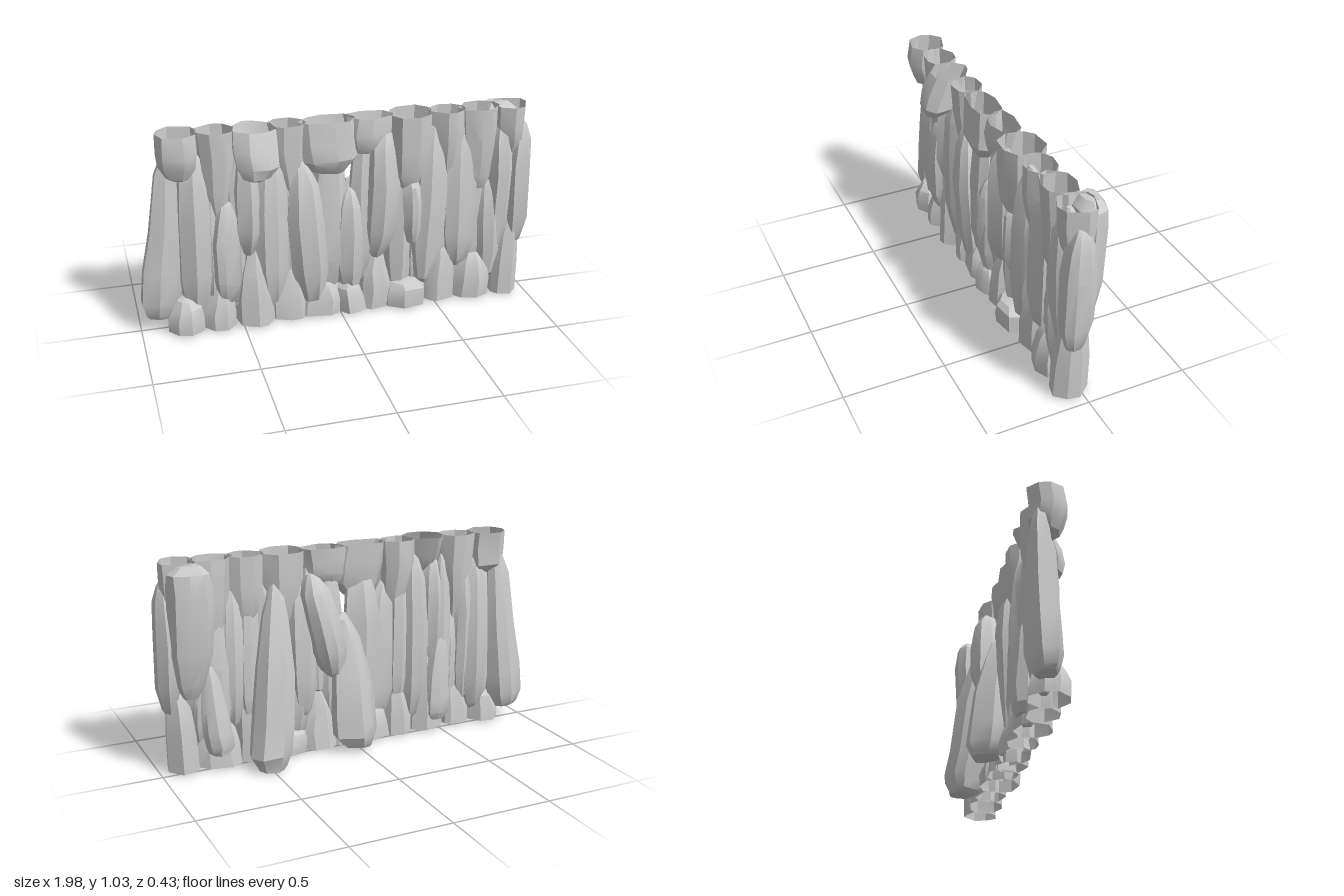
import * as THREE from 'three';
import { toCreasedNormals } from 'three/addons/utils/BufferGeometryUtils.js';

const SIDES = 8, TOP = 1.03, BASE = 0.01;

// Radius profiles along a stone: [length fraction, radius fraction]
const WHOLE = [[0, 0.22], [0.05, 0.6], [0.25, 0.97], [0.6, 1], [0.84, 0.8], [0.96, 0.42], [1, 0.15]];
const HEAVY = [[0, 0.6], [0.02, 0.74], [0.09, 1], [0.25, 1], [0.52, 0.9], [0.8, 0.62], [0.96, 0.3], [1, 0.12]];
const BLOCK = [[0, 0.3], [0.1, 0.6], [0.35, 0.92], [0.8, 1], [0.94, 0.9], [1, 0.5]];
const STUB = [[0, 1], [0.4, 0.98], [0.75, 0.78], [0.95, 0.45], [1, 0.2]];
const SPIKE = [[0, 1], [0.3, 0.96], [0.6, 0.74], [0.9, 0.36], [1, 0.14]];
const BLUNT = [[0, 0.97], [0.4, 1], [0.72, 0.92], [0.93, 0.6], [1, 0.28]];

function seeded(seed) {
  let s = (seed * 7919 + 17) % 233280;
  const next = () => (s = (s * 9301 + 49297) % 233280) / 233280;
  next(); next();
  return next;
}

// Faceted stone lofted from a to b; openStart leaves a flat, uncapped cut at a
function stone(name, a, b, hw, hd, profile, seed, openStart) {
  const rnd = seeded(seed), pos = [], index = [];
  const turn = rnd() * 0.8;
  const cols = Array.from({ length: SIDES }, (_, i) => ({
    angle: turn + (i + (rnd() - 0.5) * 0.6) / SIDES * Math.PI * 2,
    r: 0.95 + rnd() * 0.15
  }));
  const len = b[1] - a[1];
  profile.forEach(([t, r], k) => {
    const cut = openStart && k === 0;
    const tip = k === 0 || k === profile.length - 1;
    const c = a.map((v, i) => v + (b[i] - v) * t);
    const ox = tip ? 0 : (rnd() - 0.5) * 0.15 * hw, oz = tip ? 0 : (rnd() - 0.5) * 0.15 * hd;
    // Each ring slopes its own way, so the facets end at different heights
    const slope = cut ? 0 : (rnd() - 0.5) * Math.abs(len) * 0.12 * Math.min(1, 4 * t * (1 - t));
    const facing = rnd() * 6.28;
    for (const col of cols) {
      const rr = r * col.r * (0.97 + rnd() * 0.06);
      pos.push(c[0] + ox + Math.cos(col.angle) * rr * hw,
        c[1] + slope * Math.cos(col.angle - facing),
        c[2] + oz + Math.sin(col.angle) * rr * hd);
    }
  });
  const tri = (p, q, s) => len > 0 ? index.push(p, q, s) : index.push(p, s, q);
  for (let k = 0; k < profile.length - 1; k++) {
    for (let i = 0; i < SIDES; i++) {
      const p = k * SIDES + i, q = k * SIDES + (i + 1) % SIDES;
      tri(p, p + SIDES, q);
      tri(q, p + SIDES, q + SIDES);
    }
  }
  const last = (profile.length - 1) * SIDES;
  for (let i = 1; i < SIDES - 1; i++) {
    if (!openStart) tri(0, i, i + 1);
    tri(last, last + i + 1, last + i);
  }
  const geo = new THREE.BufferGeometry();
  geo.setAttribute('position', new THREE.Float32BufferAttribute(pos, 3));
  geo.setIndex(index);
  const mesh = new THREE.Mesh(toCreasedNormals(geo, 0.5), new THREE.MeshStandardMaterial({
    color: 0xcccccc, side: THREE.DoubleSide
  }));
  mesh.name = name;
  return mesh;
}

// Stones cut by the top edge: x, tip x, tip y, z, tip z, half width, half depth
const topStones = [
  [-0.775, -0.77, 0.80, 0.04, 0.05, 0.098, 0.10, BLUNT],
  [-0.60, -0.59, 0.50, 0.04, 0.04, 0.095, 0.075, SPIKE],
  [-0.42, -0.43, 0.80, 0.06, 0.15, 0.107, 0.10, BLUNT],
  [-0.255, -0.24, 0.60, 0.04, 0.04, 0.09, 0.075, SPIKE],
  [-0.06, -0.04, 0.76, 0.04, 0.06, 0.14, 0.075, BLUNT],
  [0.15, 0.13, 0.84, 0.03, 0.04, 0.115, 0.07, BLUNT],
  [0.36, 0.35, 0.62, 0.04, 0.05, 0.112, 0.10, STUB],
  [0.54, 0.55, 0.66, 0.04, 0.04, 0.095, 0.075, STUB],
  [0.71, 0.73, 0.56, 0.04, 0.04, 0.11, 0.075, STUB],
  [0.88, 0.88, 0.76, 0.04, 0.04, 0.085, 0.09, STUB]
];

// Stones cut by the base, same columns
const baseStones = [
  [-0.78, -0.78, 0.18, 0.04, 0.05, 0.097, 0.09, STUB],
  [-0.61, -0.60, 0.27, 0.05, 0.04, 0.085, 0.08, SPIKE],
  [-0.43, -0.44, 0.46, 0.05, 0.05, 0.105, 0.09, SPIKE],
  [-0.26, -0.25, 0.32, 0.04, 0.04, 0.09, 0.075, SPIKE],
  [-0.10, -0.09, 0.19, 0.04, 0.05, 0.125, 0.08, STUB],
  [0.06, 0.04, 0.18, 0.05, 0.05, 0.08, 0.075, STUB],
  [0.18, 0.19, 0.35, 0.03, 0.04, 0.09, 0.075, SPIKE],
  [0.35, 0.34, 0.145, 0.05, 0.06, 0.115, 0.10, BLUNT],
  [0.53, 0.54, 0.40, 0.04, 0.04, 0.09, 0.075, SPIKE],
  [0.70, 0.71, 0.26, 0.04, 0.04, 0.11, 0.085, STUB],
  [0.88, 0.90, 0.45, 0.045, 0.045, 0.08, 0.088, STUB]
];

// Whole stones in the face: low x, low y, high x, high y, z, half width, half depth
const faceStones = [
  [-0.895, 0.07, -0.80, 0.97, 0.0, 0.10, 0.075, HEAVY],
  [-0.72, 0.06, -0.70, 0.92, 0.03, 0.095, 0.08, WHOLE],
  [-0.58, 0.12, -0.57, 0.68, 0.06, 0.07, 0.07, WHOLE],
  [-0.46, 0.37, -0.46, 0.92, 0.05, 0.07, 0.08, WHOLE],
  [-0.34, 0.06, -0.34, 0.95, 0.04, 0.095, 0.08, WHOLE],
  [-0.15, 0.07, -0.20, 0.84, 0.06, 0.10, 0.075, WHOLE],
  [-0.06, 0.10, -0.05, 0.92, 0.03, 0.10, 0.075, WHOLE],
  [0.05, 0.10, 0.05, 0.67, 0.05, 0.08, 0.07, WHOLE],
  [0.19, 0.28, 0.22, 0.97, 0.05, 0.09, 0.08, WHOLE],
  [0.31, 0.06, 0.31, 0.78, 0.03, 0.09, 0.07, WHOLE],
  [0.37, 0.34, 0.36, 0.72, 0.06, 0.065, 0.07, WHOLE],
  [0.45, 0.10, 0.48, 0.98, 0.05, 0.092, 0.08, WHOLE],
  [0.62, 0.18, 0.61, 0.92, 0.05, 0.095, 0.075, WHOLE],
  [0.79, 0.10, 0.77, 0.67, 0.05, 0.075, 0.07, WHOLE],
  [0.84, 0.25, 0.83, 0.98, 0.05, 0.07, 0.075, WHOLE],
  [0.925, 0.27, 0.935, 0.95, 0.05, 0.07, 0.077, WHOLE]
];

// Stones filling the joints between the face stones, same columns
const innerStones = [
  [-0.64, 0.12, -0.64, 0.88, 0.03, 0.06, 0.06, WHOLE],
  [-0.51, 0.10, -0.51, 0.93, 0.03, 0.055, 0.055, WHOLE],
  [-0.26, 0.15, -0.26, 0.88, 0.03, 0.06, 0.055, WHOLE],
  [0.12, 0.15, 0.12, 0.96, 0.03, 0.075, 0.055, WHOLE],
  [0.39, 0.06, 0.38, 0.80, 0.02, 0.065, 0.055, WHOLE],
  [0.54, 0.15, 0.54, 0.90, 0.03, 0.065, 0.06, WHOLE],
  [0.71, 0.12, 0.71, 0.82, 0.03, 0.075, 0.06, WHOLE]
];

// Leaning stones on the back: low x, y, z, high x, y, z, half width, half depth
const backStones = [
  [0.85, 0.38, -0.02, 0.84, 1.02, -0.04, 0.11, 0.08, BLOCK],
  [0.72, 0.09, -0.05, 0.76, 0.54, -0.01, 0.07, 0.06, HEAVY],
  [0.50, 0.0, -0.12, 0.41, 0.92, 0.0, 0.105, 0.105, HEAVY],
  [0.28, 0.20, -0.01, 0.29, 0.88, -0.01, 0.07, 0.06, WHOLE],
  [0.14, 0.40, -0.06, 0.25, 0.92, -0.045, 0.09, 0.08, WHOLE],
  [0.01, 0.03, -0.09, 0.06, 0.70, -0.01, 0.12, 0.105, HEAVY],
  [-0.48, 0.06, 0.0, -0.50, 0.54, 0.0, 0.08, 0.06, HEAVY]
];

export function createModel() {
  const wall = new THREE.Group();
  wall.name = 'stoneWall';
  const section = (name, rows, build) => {
    const group = new THREE.Group();
    group.name = name + 's';
    rows.forEach((row, i) => group.add(build(row, i)));
    wall.add(group);
  };
  const cutRow = (name, y, seed) => ([x, tx, ty, z, tz, w, d, p], i) =>
    stone(name, [x, y, z], [tx, ty, tz], w, d, p, i + seed, true);
  const wholeRow = (name, seed) => ([x, y, hx, hy, z, w, d, p], i) =>
    stone(name, [x, y, z], [hx, hy, z], w, d, p, i + seed, false);
  section('topStone', topStones, cutRow('topStone', TOP, 1));
  section('baseStone', baseStones, cutRow('baseStone', BASE, 31));
  section('faceStone', faceStones, wholeRow('faceStone', 61));
  section('innerStone', innerStones, wholeRow('innerStone', 121));
  section('backStone', backStones, ([x, y, z, hx, hy, hz, w, d, p], i) =>
    stone('backStone', [x, y, z], [hx, hy, hz], w, d, p, i + 91, false));
  return wall;
}
